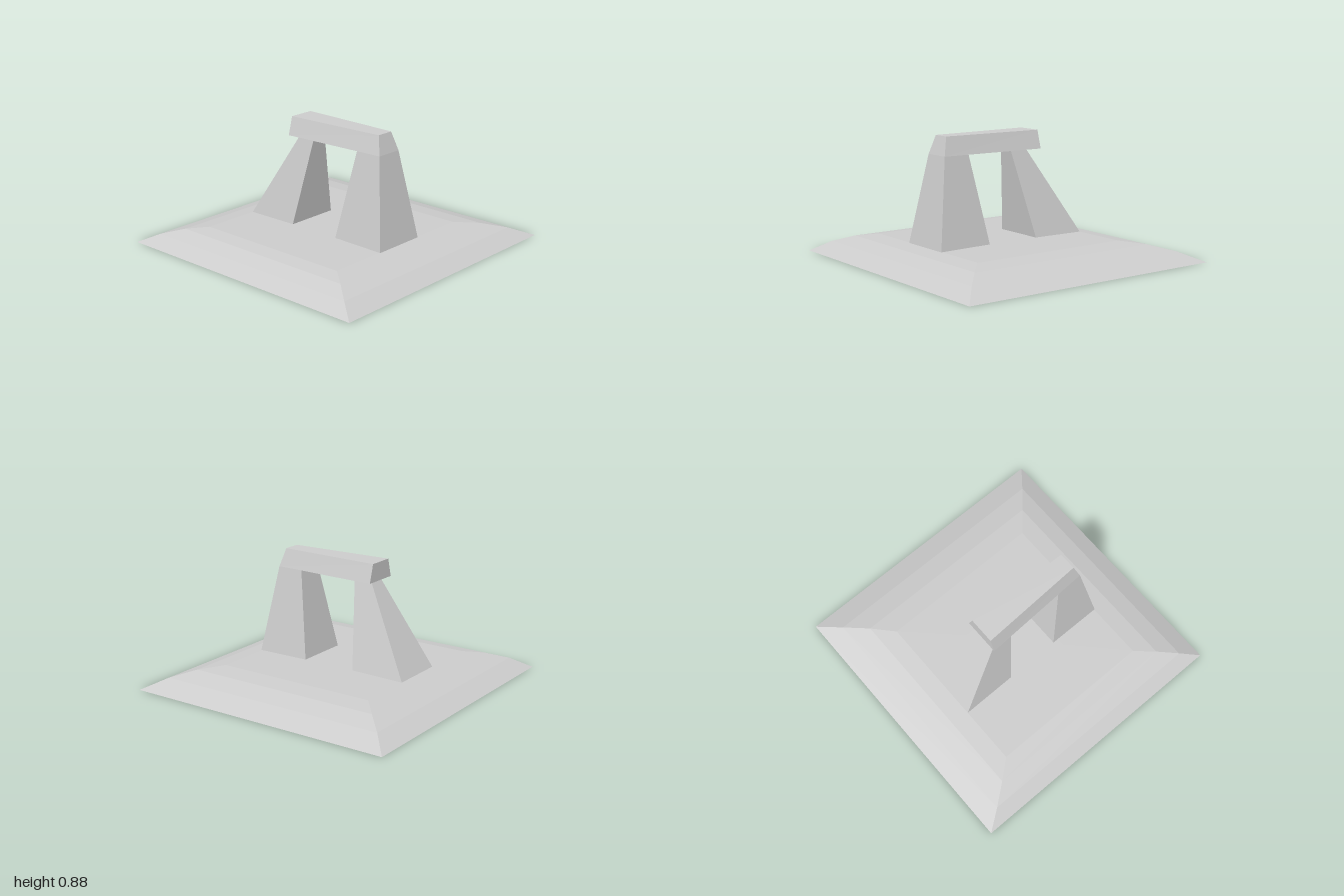
import * as THREE from 'three';

const material = new THREE.MeshStandardMaterial({ color: 0xcccccc, flatShading: true });

// Four corners at height y, counter-clockwise from above; the back edge may have its own x range.
function ring(y, x0, x1, zBack, zFront, bx0 = x0, bx1 = x1) {
  return [[x0, y, zFront], [x1, y, zFront], [bx1, y, zBack], [bx0, y, zBack]];
}

// Closed solid skinned over a stack of four-cornered rings, bottom to top.
function loft(name, rings) {
  const positions = [];
  const quad = (a, b, c, d) => positions.push(...a, ...b, ...c, ...a, ...c, ...d);
  for (let r = 0; r < rings.length - 1; r++) {
    const low = rings[r], high = rings[r + 1];
    for (let i = 0; i < 4; i++) {
      const j = (i + 1) % 4;
      quad(low[i], low[j], high[j], high[i]);
    }
  }
  quad(...[...rings[0]].reverse());
  quad(...rings[rings.length - 1]);
  const geometry = new THREE.BufferGeometry();
  geometry.setAttribute('position', new THREE.Float32BufferAttribute(positions, 3));
  geometry.computeVertexNormals();
  const mesh = new THREE.Mesh(geometry, material);
  mesh.name = name;
  return mesh;
}

export function createModel() {
  const group = new THREE.Group();
  group.name = 'stoneArchOnMound';

  // Low mound with rounded shoulders and a barely raised middle
  group.add(loft('mound', [
    ring(0, -1, 1, -1, 1),
    ring(0.07, -0.9, 0.84, -0.86, 0.87),
    ring(0.112, -0.79, 0.69, -0.72, 0.74),
    ring(0.129, -0.68, 0.54, -0.59, 0.61),
    ring(0.133, -0.32, 0.19, -0.23, 0.26),
  ]));

  // Tapered front leg
  group.add(loft('frontLeg', [
    ring(0.128, -0.262, 0.135, 0.215, 0.615),
    ring(0.75, -0.16, 0.035, 0.32, 0.515),
  ]));

  // Back leg, leaning forward
  group.add(loft('backLeg', [
    ring(0.128, -0.262, 0.135, -0.59, -0.187),
    ring(0.75, -0.145, -0.035, -0.22, -0.088),
  ]));

  // Lintel, widening toward its overhanging back end
  group.add(loft('lintel', [
    ring(0.75, -0.16, 0.035, -0.28, 0.515, -0.195, 0.065),
    ring(0.88, -0.125, 0, -0.28, 0.478, -0.16, 0.027),
  ]));

  return group;
}
